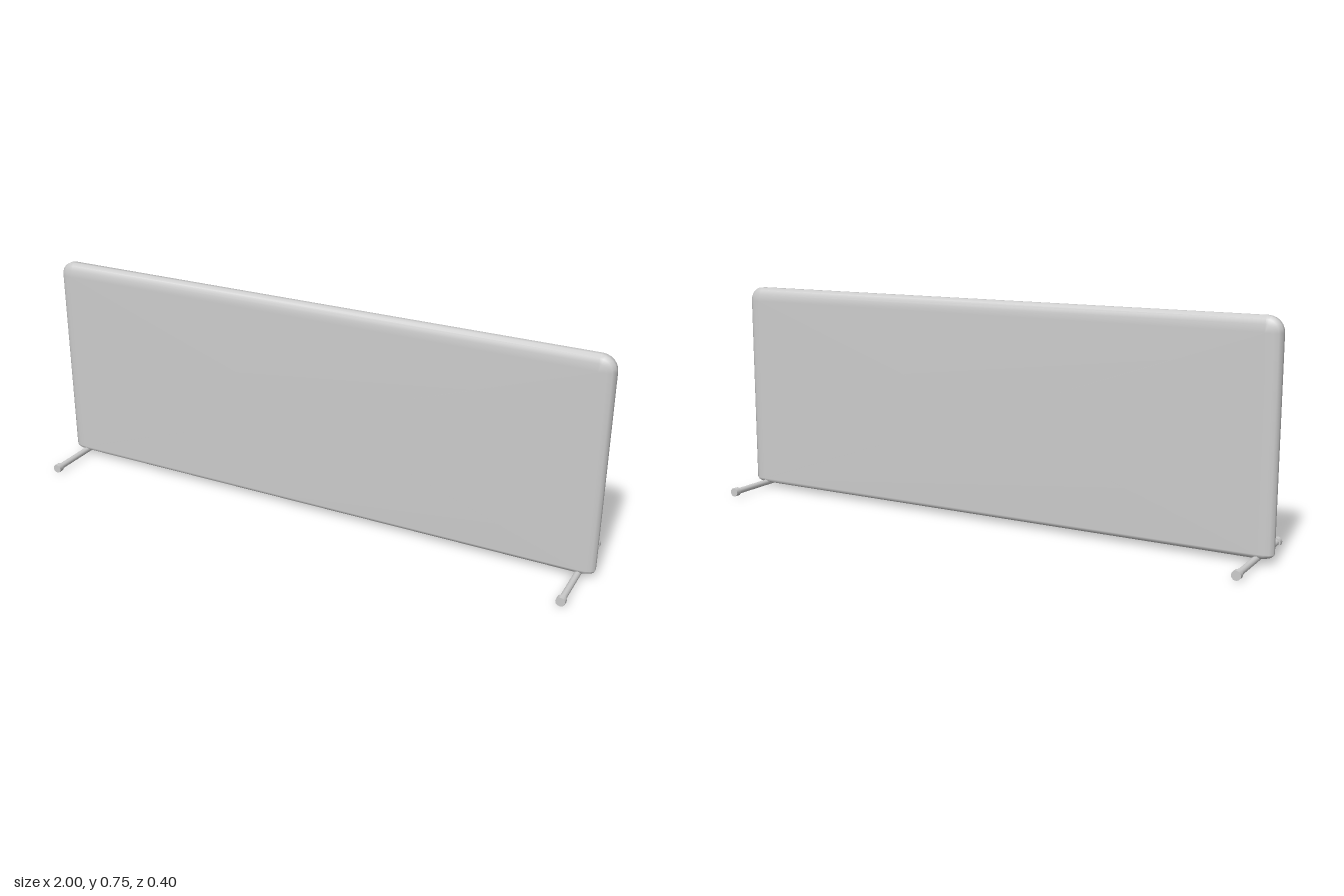
import * as THREE from 'three';

const material = new THREE.MeshStandardMaterial({ color: 0xcccccc });

// Soft-edged board: one rounded outline repeated at several depths
function panelGeometry() {
  const profile = [[0.02, 0.025], [0.5, 0.0225], [0.8, 0.017], [1, 0.008]]; // edge scale, depth
  const rows = [...profile.map(([s, z]) => [s, -z]), ...profile.slice().reverse()];
  const corners = [ // centre x, centre y, radius x, radius y
    [0.95, 0.7, 0.05, 0.05], [-0.95, 0.7, 0.05, 0.05],
    [-0.95, 0.032, 0.05, 0.017], [0.95, 0.032, 0.05, 0.017],
  ];
  const steps = 6;
  const ring = corners.length * (steps + 1);
  const positions = [];
  const index = [];
  for (const [s, z] of rows) {
    corners.forEach(([cx, cy, rx, ry], c) => {
      for (let i = 0; i <= steps; i++) {
        const a = (c + i / steps) * Math.PI / 2;
        positions.push(cx + Math.cos(a) * rx * s, cy + Math.sin(a) * ry * s, z);
      }
    });
  }
  for (let r = 0; r < rows.length - 1; r++) {
    for (let i = 0; i < ring; i++) {
      const j = (i + 1) % ring;
      const a = r * ring + i, b = r * ring + j;
      index.push(a, b, b + ring, a, b + ring, a + ring);
    }
  }
  // Flat front and back
  const back = rows.length * ring, front = back + 1, last = (rows.length - 1) * ring;
  positions.push(0, 0.366, -0.025, 0, 0.366, 0.025);
  for (let i = 0; i < ring; i++) {
    const j = (i + 1) % ring;
    index.push(back, j, i, front, last + i, last + j);
  }
  const geometry = new THREE.BufferGeometry();
  geometry.setAttribute('position', new THREE.Float32BufferAttribute(positions, 3));
  geometry.setIndex(index);
  geometry.computeVertexNormals();
  return geometry;
}

// Cylinder lying along z
function rod(name, radius, length, z) {
  const geometry = new THREE.CylinderGeometry(radius, radius, length, 12).rotateX(Math.PI / 2);
  const mesh = new THREE.Mesh(geometry, material);
  mesh.name = name;
  mesh.position.z = z;
  return mesh;
}

export function createModel() {
  const group = new THREE.Group();
  group.name = 'deskScreen';

  const panel = new THREE.Mesh(panelGeometry(), material);
  panel.name = 'panel';
  group.add(panel);

  // A crossbar foot with end caps under each end
  for (const side of [-1, 1]) {
    const foot = new THREE.Group();
    foot.name = side > 0 ? 'leftFoot' : 'rightFoot';
    foot.position.set(side * 0.95, 0.0155, 0);
    foot.add(rod('footBar', 0.0105, 0.37, 0));
    for (const end of [-1, 1]) foot.add(rod('footCap', 0.0155, 0.02, end * 0.19));
    group.add(foot);
  }
  return group;
}
